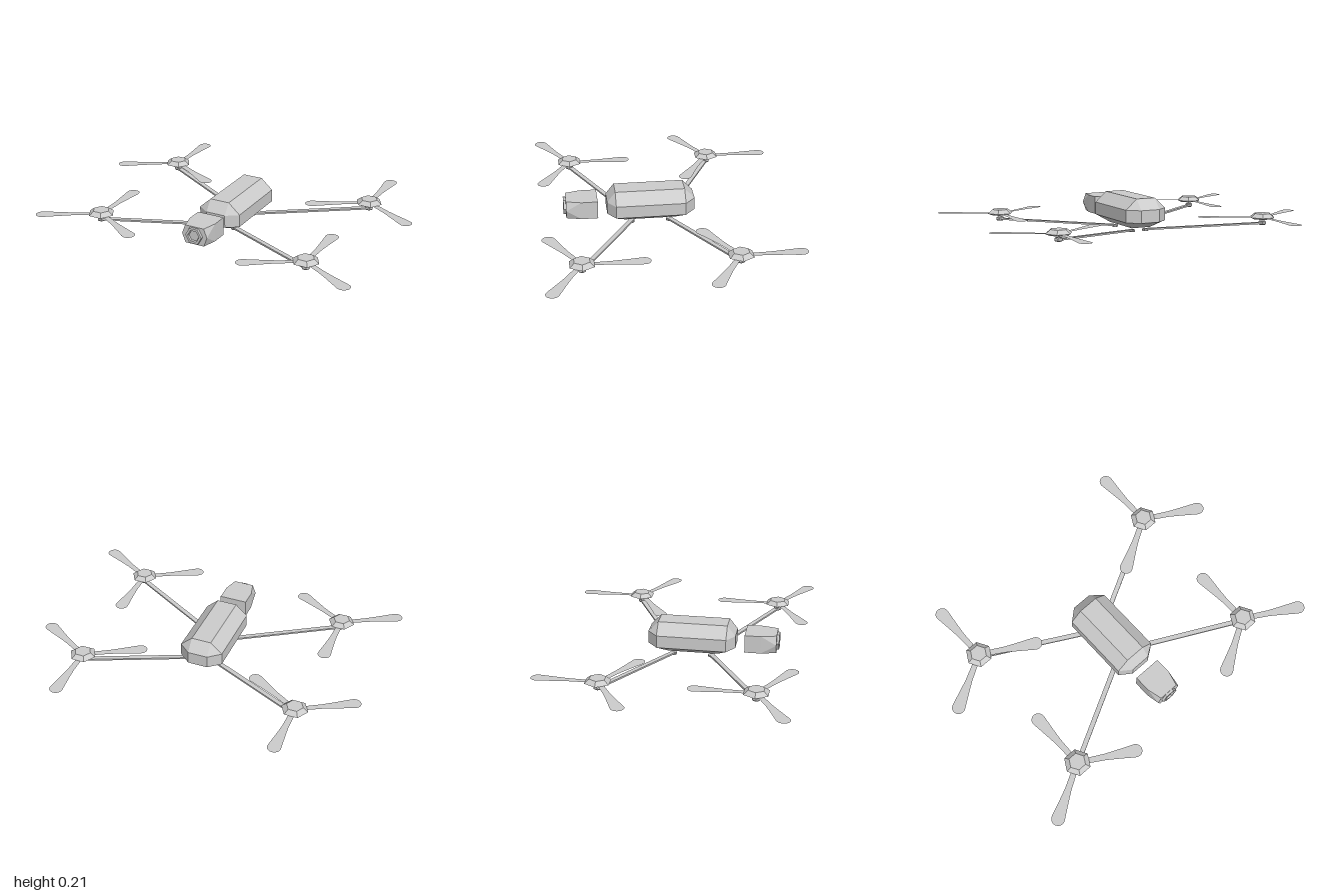
import * as THREE from 'three';
import { ConvexGeometry } from 'three/addons/geometries/ConvexGeometry.js';

const grey = new THREE.MeshStandardMaterial({ color: 0xcccccc, flatShading: true });
const thin = new THREE.MeshStandardMaterial({ color: 0xcccccc, side: THREE.DoubleSide });

function add(parent, name, geometry, material = grey) {
  const mesh = new THREE.Mesh(geometry, material);
  mesh.name = name;
  parent.add(mesh);
  return mesh;
}

// Faceted solid from points on the +x side, mirrored across x = 0
function mirroredHull(points) {
  return new ConvexGeometry(points.flatMap(([x, y, z]) =>
    [new THREE.Vector3(x, y, z), new THREE.Vector3(-x, y, z)]));
}

// Six-sided turned part with corners on the x axis
const hexLathe = (profile) => new THREE.LatheGeometry(
  profile.map(([r, y]) => new THREE.Vector2(r, y)), 6, Math.PI / 6);

// Paddle blade outline: slim root, round tip, pointing along +y of the shape
function bladeGeometry() {
  const s = new THREE.Shape();
  s.moveTo(-0.016, 0.03);
  s.lineTo(0.016, 0.03);
  s.lineTo(0.019, 0.16);
  s.quadraticCurveTo(0.024, 0.22, 0.039, 0.335);
  s.absarc(0, 0.345, 0.039, -0.1, Math.PI + 0.1, false);
  s.quadraticCurveTo(-0.024, 0.22, -0.019, 0.16);
  s.closePath();
  return new THREE.ShapeGeometry(s, 10).rotateX(-Math.PI / 2);
}

function createRotor() {
  const rotor = new THREE.Group();
  add(rotor, 'hub', hexLathe([[0, 0.072], [0.055, 0.072], [0.08, 0.083], [0.05, 0.106], [0, 0.106]]));
  add(rotor, 'motor', hexLathe([[0, 0.037], [0.019, 0.037], [0.025, 0.043], [0.025, 0.055], [0.019, 0.06], [0, 0.06]]));
  const blade = bladeGeometry();
  for (let i = 0; i < 3; i++) {
    const mesh = add(rotor, 'blade', blade, thin);
    mesh.position.y = 0.081;
    mesh.rotation.y = (i * Math.PI * 2) / 3;
  }
  return rotor;
}

export function createModel() {
  const model = new THREE.Group();

  // Body: flat roof and belly joined to an eight-sided waist
  const body = [];
  for (const y of [0.07, 0.145]) {
    body.push([0.13, y, -0.125], [0.13, y, 0.288], [0.06, y, -0.185], [0.06, y, 0.337]);
  }
  body.push([0.06, 0.208, -0.125], [0.06, 0.208, 0.288], [0.06, 0.025, -0.063], [0.06, 0.025, 0.23]);
  add(model, 'body', mirroredHull(body));

  // Camera head: box whose front corners are cut down to a six-sided face
  add(model, 'cameraHead', mirroredHull([
    [0.083, 0.055, 0.393], [0.083, 0.163, 0.393],
    [0.083, 0.055, 0.49], [0.083, 0.163, 0.49],
    [0.08, 0.11, 0.58], [0.06, 0.055, 0.58], [0.06, 0.163, 0.58],
  ]));

  // Lens: raised rim with a sunken glass
  const lens = add(model, 'lens', hexLathe([
    [0.054, -0.01], [0.052, 0.012], [0.037, 0.012], [0.032, 0.003], [0, 0.003],
  ]));
  lens.rotation.x = Math.PI / 2;
  lens.position.set(0, 0.11, 0.582);

  // Arms and rotors, mirrored left and right
  for (const side of [-1, 1]) {
    for (const [name, hubZ, rootZ] of [['front', 0.525, 0.193], ['rear', -0.36, -0.035]]) {
      const rotor = createRotor();
      rotor.name = name + 'Rotor';
      rotor.position.set(side * 0.665, 0, hubZ);
      model.add(rotor);

      const root = new THREE.Vector3(side * 0.045, 0.009, rootZ);
      const tip = new THREE.Vector3(side * 0.665, 0.047, hubZ);
      const arm = add(model, name + 'Arm', new THREE.BoxGeometry(0.028, 0.01, root.distanceTo(tip)));
      arm.position.copy(root).lerp(tip, 0.5);
      arm.lookAt(tip);

      const pivot = add(model, name + 'ArmPivot', new THREE.CylinderGeometry(0.02, 0.02, 0.012, 8));
      pivot.position.set(root.x, 0.006, root.z);
    }
  }
  return model;
}
